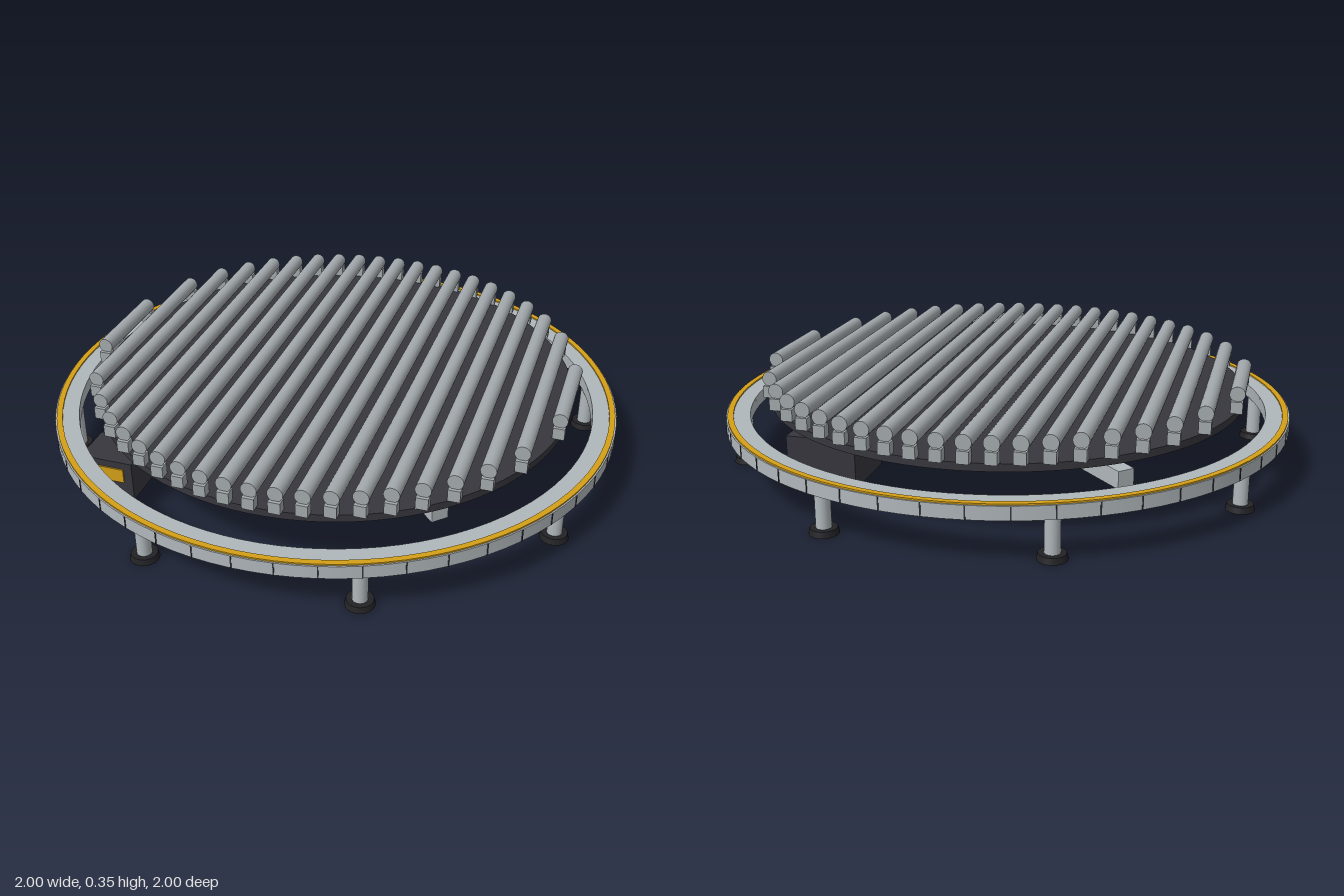
import * as THREE from 'three';
import { toCreasedNormals } from 'three/addons/utils/BufferGeometryUtils.js';

const mat = (name, color) => {
  const m = new THREE.MeshStandardMaterial({ color });
  m.name = name;
  return m;
};

export function createModel() {
  const root = new THREE.Group();
  root.name = 'rollerTurntable';
  const steel = mat('light steel', 0xb0b7bb);
  const rollerSteel = mat('roller steel', 0xa2a8ac);
  const charcoal = mat('charcoal', 0x36363d);
  const black = mat('black rubber', 0x222225);
  const yellow = mat('safety yellow', 0xd4a017);

  const add = (parent, name, geo, material, x = 0, y = 0, z = 0) => {
    const m = new THREE.Mesh(geo, material);
    m.name = name;
    m.position.set(x, y, z);
    parent.add(m);
    return m;
  };
  // box and cylinder given by their bottom and top heights
  const box = (parent, name, w, y0, y1, d, material, x = 0, z = 0) =>
    add(parent, name, new THREE.BoxGeometry(w, y1 - y0, d), material, x, (y0 + y1) / 2, z);
  const cyl = (parent, name, rTop, rBottom, y0, y1, material, x = 0, z = 0, n = 32) =>
    add(parent, name, new THREE.CylinderGeometry(rTop, rBottom, y1 - y0, n), material, x, (y0 + y1) / 2, z);
  const ring = (name, r0, r1, y0, y1, material) => {
    const profile = [[r1, y0], [r1, y1], [r0, y1], [r0, y0], [r1, y0]].map(p => new THREE.Vector2(...p));
    add(root, name, toCreasedNormals(new THREE.LatheGeometry(profile, 96), 0.6), material);
  };

  // fixed outer ring with a safety stripe and panel seams
  ring('outerRing', 0.915, 0.997, 0.15, 0.195, steel);
  ring('safetyStripe', 0.972, 0.992, 0.194, 0.2, yellow);
  const seams = new THREE.Group();
  seams.name = 'panelSeams';
  root.add(seams);
  for (let i = 0; i < 48; i++) {
    const a = (i / 48) * Math.PI * 2;
    const s = box(seams, 'panelSeam', 0.004, 0.151, 0.194, 0.004, charcoal, Math.sin(a) * 0.997, Math.cos(a) * 0.997);
    s.rotation.y = a;
  }

  // eight levelling feet under the ring
  for (let i = 0; i < 8; i++) {
    const a = (i + 0.5) * Math.PI / 4;
    const foot = new THREE.Group();
    foot.name = 'levellingFoot';
    foot.position.set(Math.sin(a) * 0.935, 0, Math.cos(a) * 0.935);
    root.add(foot);
    cyl(foot, 'footPost', 0.025, 0.025, 0.02, 0.152, steel, 0, 0, 20);
    cyl(foot, 'footPad', 0.043, 0.048, 0, 0.02, black, 0, 0, 24);
  }

  // central drive drum, bearing and diagonal arms
  cyl(root, 'driveDrum', 0.243, 0.243, 0.012, 0.17, charcoal, 0, 0, 48);
  cyl(root, 'driveShaft', 0.1, 0.1, 0.17, 0.22, charcoal);
  cyl(root, 'bearingPlate', 0.2, 0.2, 0.217, 0.236, steel, 0, 0, 48);
  for (let i = 0; i < 4; i++) {
    const a = (i + 0.5) * Math.PI / 2;
    const arm = box(root, 'baseArm', 0.06, 0.1, 0.16, 0.55, steel, Math.sin(a) * 0.455, Math.cos(a) * 0.455);
    arm.rotation.y = a;
  }

  // motor housing and control cabinet
  box(root, 'motorHousing', 0.24, 0.025, 0.19, 0.24, charcoal, 0.49, -0.45);
  box(root, 'controlCabinet', 0.185, 0.05, 0.19, 0.15, charcoal, -0.585, 0.585);
  box(root, 'cabinetLabel', 0.125, 0.115, 0.165, 0.006, yellow, -0.585, 0.662);

  // rotating deck on two rails
  cyl(root, 'deck', 0.84, 0.84, 0.236, 0.262, charcoal, 0, 0, 96);
  for (const s of [-1, 1]) box(root, 'deckRail', 1.41, 0.222, 0.237, 0.035, steel, 0, s * 0.385);
  for (const x of [-0.125, 0.125]) for (const z of [-0.07, 0.07])
    cyl(root, 'deckBolt', 0.009, 0.009, 0.26, 0.268, steel, x, z, 8);

  // rollers fitted to the round deck, with a bracket at each end
  const rollers = new THREE.Group();
  rollers.name = 'rollers';
  root.add(rollers);
  for (let i = -10; i <= 10; i++) {
    const x = i * 0.0825;
    const half = Math.sqrt(0.843 ** 2 - x * x);
    const r = add(rollers, 'roller', new THREE.CylinderGeometry(0.026, 0.026, half * 2, 24), rollerSteel, x, 0.325, 0);
    r.rotation.x = Math.PI / 2;
    for (const s of [-1, 1])
      box(rollers, 'rollerBracket', 0.04, 0.261, 0.302, 0.032, rollerSteel, x, s * (half - 0.005));
  }
  return root;
}
